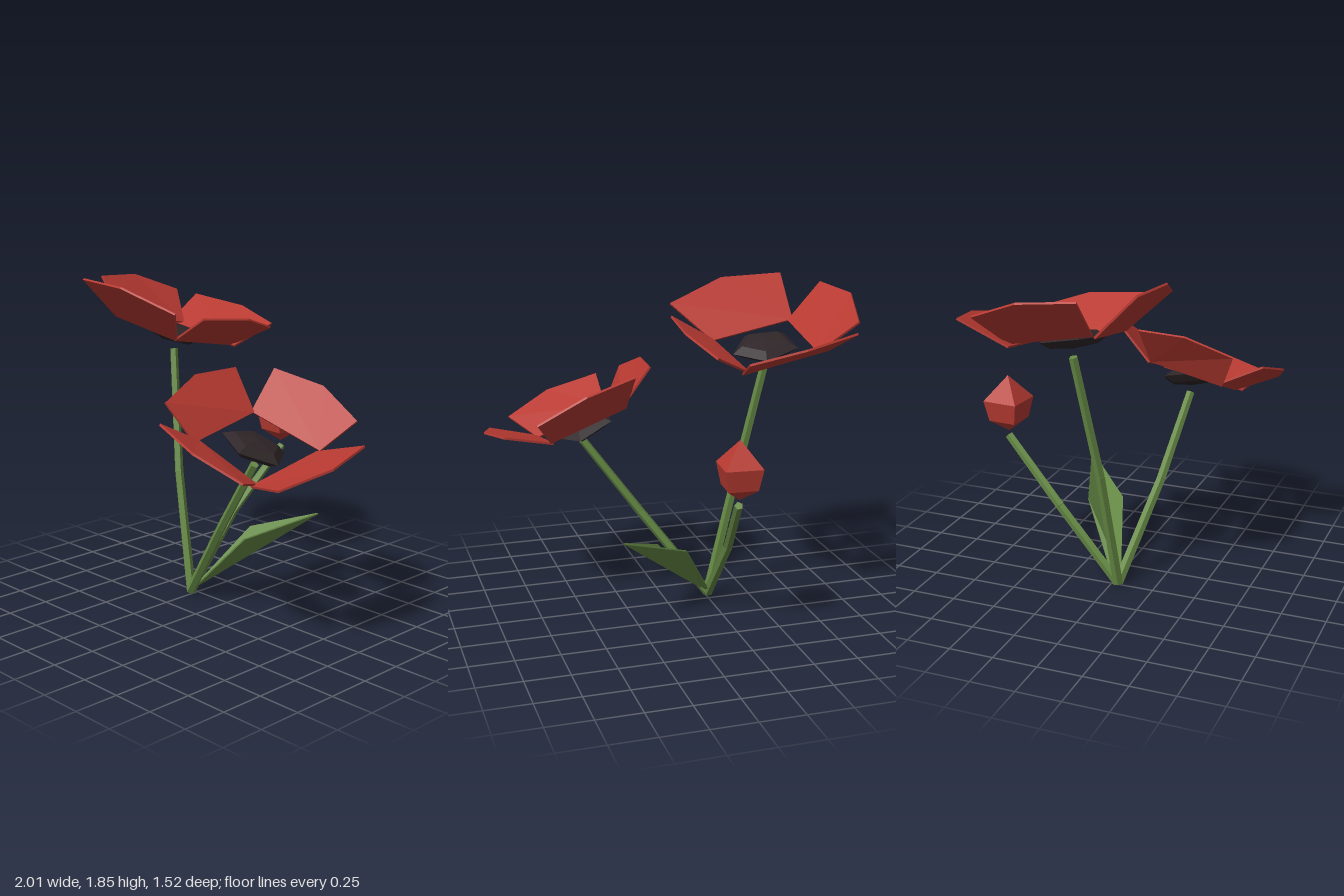
import * as THREE from 'three';

const V = (p) => new THREE.Vector3(...p);
const mat = (name, color, side = THREE.FrontSide) => {
  const m = new THREE.MeshStandardMaterial({ color, side, flatShading: true });
  m.name = name;
  return m;
};

// Thin flat plate through a convex outline, always facing upwards
function plate(outline, thickness) {
  let top = outline.map(V);
  const n = new THREE.Vector3();
  for (let i = 1; i < top.length - 1; i++) {
    n.add(top[i].clone().sub(top[0]).cross(top[i + 1].clone().sub(top[0])));
  }
  n.normalize();
  if (n.y < 0) { top.reverse(); n.negate(); }
  const low = top.map((p) => p.clone().addScaledVector(n, -thickness));
  const c = top.length, tri = [];
  for (let i = 1; i < c - 1; i++) {
    tri.push(top[0], top[i], top[i + 1], low[0], low[i + 1], low[i]);
  }
  for (let i = 0; i < c; i++) {
    const j = (i + 1) % c;
    tri.push(top[i], low[i], low[j], top[i], low[j], top[j]);
  }
  const g = new THREE.BufferGeometry().setFromPoints(tri);
  g.computeVertexNormals();
  return g;
}

export function createModel() {
  const root = new THREE.Group();
  root.name = 'poppies';
  const red = mat('petalRed', 0xb83a32);
  const green = mat('stemGreen', 0x668a45, THREE.DoubleSide);
  const black = mat('centreBlack', 0x2e2527);

  const add = (parent, name, geo, material) => {
    const m = new THREE.Mesh(geo, material);
    m.name = name;
    parent.add(m);
    return m;
  };

  // Stem: five-sided rods following a bent path
  function stem(name, points) {
    const g = new THREE.Group();
    g.name = name;
    const last = points.length - 1;
    for (let i = 0; i < last; i++) {
      const a = V(points[i]), b = V(points[i + 1]), d = b.clone().sub(a);
      const r = (k) => 0.029 - 0.005 * k / last;
      const m = add(g, 'stemSection', new THREE.CylinderGeometry(r(i + 1), r(i), d.length(), 5), green);
      m.position.copy(a).add(b).multiplyScalar(0.5);
      m.quaternion.setFromUnitVectors(new THREE.Vector3(0, 1, 0), d.normalize());
    }
    root.add(g);
  }

  // Flower head: four petals around a tilted five-sided centre
  function flower(name, petals, centre, normal) {
    const g = new THREE.Group();
    g.name = name;
    for (const [side, outline] of Object.entries(petals)) add(g, side + 'Petal', plate(outline, 0.012), red);
    const dome = new THREE.SphereGeometry(0.19, 5, 4).rotateY(Math.PI).scale(1, 0.26, 1);
    const m = add(g, 'flowerCentre', dome, black);
    m.position.copy(V(centre));
    m.quaternion.setFromUnitVectors(new THREE.Vector3(0, 1, 0), V(normal).normalize());
    root.add(g);
  }

  // Each petal runs from one base corner round the outer edge to the other
  flower('tallFlower', {
    front: [[-0.79, 1.62, 0.13], [-0.80, 1.855, 0.36], [-0.44, 1.84, 0.385], [-0.10, 1.72, 0.29], [-0.295, 1.53, 0.10]],
    right: [[-0.75, 1.62, 0.11], [-0.945, 1.835, 0.11], [-1.0, 1.815, -0.19], [-0.925, 1.705, -0.47], [-0.74, 1.53, -0.36]],
    back: [[-0.82, 1.535, -0.32], [-0.87, 1.67, -0.58], [-0.55, 1.62, -0.67], [-0.25, 1.55, -0.62], [-0.305, 1.44, -0.36]],
    left: [[-0.305, 1.535, 0.115], [-0.06, 1.68, 0.125], [-0.04, 1.645, -0.21], [-0.13, 1.56, -0.48], [-0.35, 1.445, -0.37]],
  }, [-0.535, 1.52, -0.10], [0.18, 1, -0.19]);

  flower('lowFlower', {
    front: [[0.25, 1.11, 0.45], [0.24, 1.24, 0.71], [0.535, 1.148, 0.755], [0.79, 1.025, 0.66], [0.66, 0.95, 0.43]],
    right: [[0.25, 1.10, 0.48], [0.13, 1.31, 0.575], [0.075, 1.415, 0.31], [0.10, 1.42, 0.03], [0.26, 1.195, 0.045]],
    back: [[0.235, 1.195, 0.045], [0.23, 1.41, -0.14], [0.52, 1.34, -0.225], [0.785, 1.195, -0.195], [0.68, 1.045, -0.02]],
    left: [[0.66, 0.95, 0.48], [0.92, 0.995, 0.555], [1.0, 1.06, 0.24], [0.935, 1.11, -0.08], [0.66, 1.04, -0.02]],
  }, [0.445, 1.065, 0.23], [0.38, 1, -0.19]);

  const base = [-0.26, 0.02, 0.045];
  stem('tallStem', [base, [-0.405, 0.72, 0.0], [-0.54, 1.425, -0.09]]);
  stem('lowStem', [base, [0.12, 0.53, 0.16], [0.44, 0.97, 0.225]]);
  stem('budStem', [base, [-0.258, 0.44, -0.31], [-0.19, 0.8, -0.655]]);

  // Closed bud: four-sided drop
  const profile = [[0, 0.83], [0.115, 0.9], [0.146, 1.02], [0, 1.16]].map((p) => new THREE.Vector2(...p));
  const bud = add(root, 'bud', new THREE.LatheGeometry(profile, 4), red);
  bud.position.set(-0.195, 0, -0.65);
  bud.rotation.y = Math.PI / 4 - 0.08;

  // Leaf: pointed blade
  add(root, 'leaf', plate([
    [-0.25, 0.06, 0.0], [-0.04, 0.41, -0.23], [0.36, 0.55, -0.375], [0.08, 0.40, -0.06], [-0.23, 0.05, 0.05],
  ], 0.008), green);

  return root;
}
